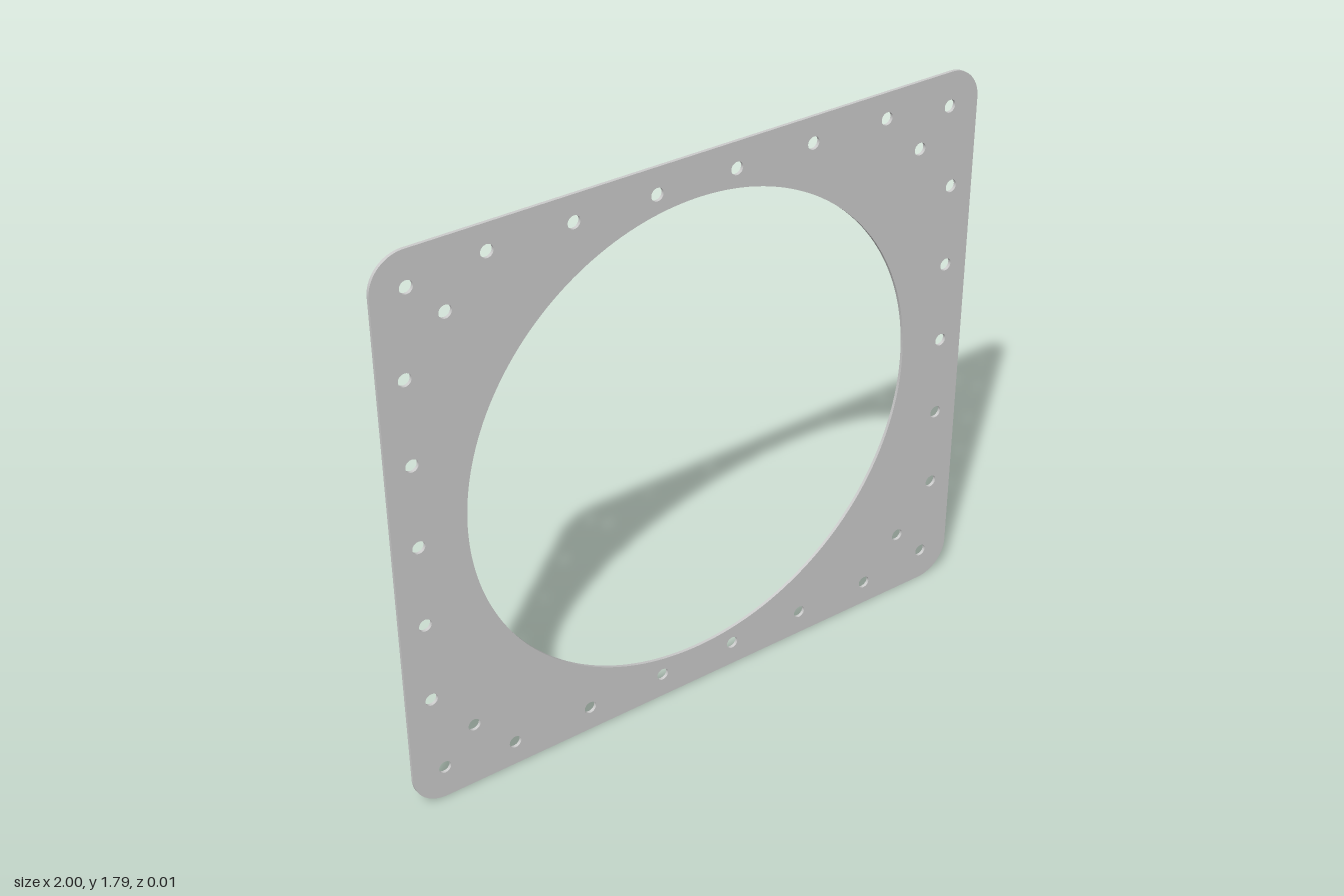
import * as THREE from 'three';

const W = 1, H = 0.8975;   // half width and half height
const CORNER = 0.107, THICK = 0.01, BORE = 0.768, HOLE = 0.02, PITCH = 0.2635;

function circle(x, y, r) {
  const path = new THREE.Path();
  path.absarc(x, y, r, 0, Math.PI * 2, true);
  return path;
}

export function createModel() {
  const group = new THREE.Group();
  group.name = 'mountingPlate';

  // Rounded rectangular outline, centred on the bore
  const plate = new THREE.Shape();
  const cx = W - CORNER, cy = H - CORNER;
  plate.absarc(cx, cy, CORNER, 0, Math.PI / 2);
  plate.absarc(-cx, cy, CORNER, Math.PI / 2, Math.PI);
  plate.absarc(-cx, -cy, CORNER, Math.PI, Math.PI * 1.5);
  plate.absarc(cx, -cy, CORNER, Math.PI * 1.5, Math.PI * 2);
  plate.closePath();

  // Large central opening, kept finely divided by joining short arcs
  const bore = new THREE.Path();
  for (let i = 0; i < 4; i++) {
    bore.absarc(0, 0, BORE, -i * Math.PI / 2, -(i + 1) * Math.PI / 2, true);
  }
  plate.holes.push(bore);

  // Screw holes: top and bottom rows, side columns, corners and inner diagonals
  const addHole = (x, y) => plate.holes.push(circle(x, y, HOLE));
  for (const s of [-1, 1]) {
    for (let i = -2.5; i <= 2.5; i++) addHole(i * PITCH, s * 0.816);
    for (let i = -2; i <= 2; i++) addHole(s * 0.92, i * PITCH);
    for (const t of [-1, 1]) {
      addHole(s * 0.895, t * 0.79);
      addHole(s * 0.79, t * 0.684);
    }
  }

  const geometry = new THREE.ExtrudeGeometry(plate, {
    depth: THICK, bevelEnabled: false, curveSegments: 24,
  });
  geometry.translate(0, H, -THICK / 2);

  const mesh = new THREE.Mesh(geometry, new THREE.MeshStandardMaterial({ color: 0xcccccc }));
  mesh.name = 'perforatedPlate';
  group.add(mesh);
  return group;
}
